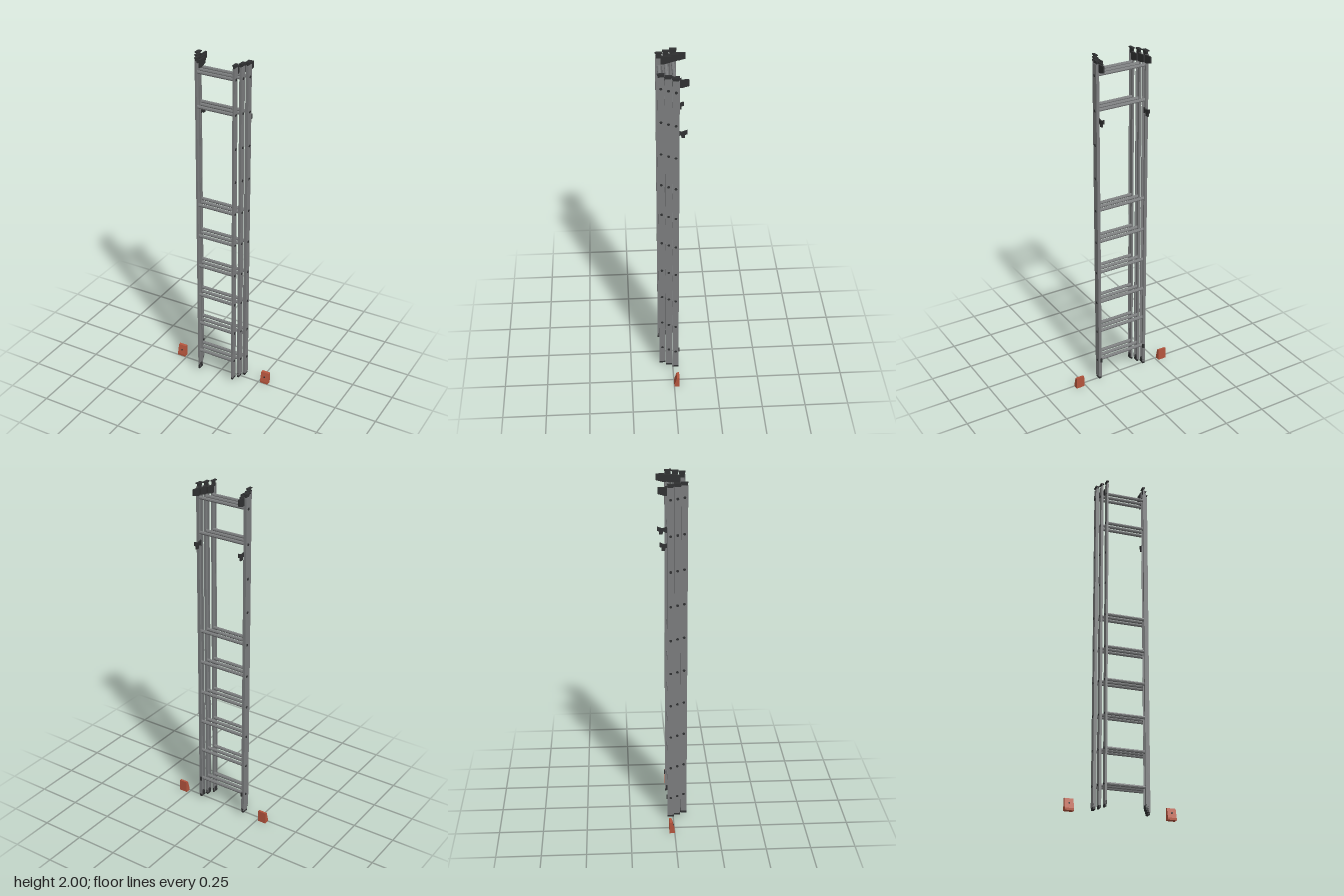
import * as THREE from 'three';

const metal = new THREE.MeshStandardMaterial({ color: 0x7b7d7e, flatShading: true, side: THREE.DoubleSide });
metal.name = 'aluminium';
const dark = new THREE.MeshStandardMaterial({ color: 0x303132, flatShading: true });
dark.name = 'dark plastic';
const red = new THREE.MeshStandardMaterial({ color: 0xb5553d, flatShading: true });
red.name = 'brick red';

function add(parent, name, geometry, material, x = 0, y = 0, z = 0) {
  const mesh = new THREE.Mesh(geometry, material);
  mesh.name = name;
  mesh.position.set(x, y, z);
  parent.add(mesh);
  return mesh;
}

function shapeOf(points) {
  return new THREE.Shape(points.map(([x, y]) => new THREE.Vector2(x, y)));
}

// Profile given as (z, y), extruded along x and centred on it
function sideExtrude(points, width) {
  const g = new THREE.ExtrudeGeometry(shapeOf(points.map(([z, y]) => [-z, y])), { depth: width, bevelEnabled: false });
  return g.translate(0, 0, -width / 2).rotateY(Math.PI / 2);
}

// C-channel rail, web on the outer side; s is the side (+1 or -1)
function railGeometry(s, w, d) {
  const t = 0.004, h = d / 2;
  const pts = [[0, -h], [0, h], [-w, h], [-w, h - t], [-t, h - t], [-t, -h + t], [-w, -h + t], [-w, -h]];
  const g = new THREE.ExtrudeGeometry(shapeOf(pts.map(([x, z]) => [x * s, z])), { depth: 1.95, bevelEnabled: false });
  return g.rotateX(-Math.PI / 2);
}

const pitch = 0.197;
const sections = [
  { name: 'baseSection', x: 0.16, w: 0.018, z: -0.015 },
  { name: 'middleSection', x: 0.14, w: 0.014, z: 0.023 },
  { name: 'frontSection', x: 0.118, w: 0.011, z: 0.061 },
];

function ladderSection({ name, x, w, z }) {
  const section = new THREE.Group();
  section.name = name;
  section.position.z = z;

  // Rungs, with a gap where two are left out
  for (let i = 0; i < 10; i++) {
    const y = 0.143 + i * pitch;
    if (i !== 6 && i !== 7) {
      const rung = new THREE.CylinderGeometry(0.0095, 0.0095, 2 * x - 0.006, 8).rotateZ(Math.PI / 2);
      add(section, 'rung', rung, metal, 0, y, 0);
    }
    for (const s of [-1, 1]) {
      const plug = new THREE.CylinderGeometry(0.008, 0.008, 0.004, 6).rotateZ(Math.PI / 2);
      add(section, 'rungPlug', plug, dark, s * x, y, 0);
    }
  }

  for (const s of [-1, 1]) {
    add(section, 'rail', railGeometry(s, w, 0.036), metal, s * x, 0.03, 0);
    // Top cap: narrow neck below a flat lid
    add(section, 'capNeck', new THREE.BoxGeometry(w * 0.5, 0.03, 0.032), dark, s * (x - w / 2), 1.98, 0);
    add(section, 'capLid', new THREE.BoxGeometry(w + 0.004, 0.006, 0.038), dark, s * (x - w / 2), 1.997, 0);
    // Foot
    add(section, 'foot', new THREE.BoxGeometry(w * 0.8, 0.03, 0.036), dark, s * (x - w / 2), 0.032, 0);
    // Top guide plate reaching back
    const guide = sideExtrude([[-0.01, 1.935], [-0.01, 1.98], [-0.066, 1.98], [-0.066, 1.945], [-0.03, 1.935]], 0.009);
    add(section, 'guidePlate', guide, dark, s * (x - w), 0, 0);
  }
  return section;
}

export function createModel() {
  const model = new THREE.Group();
  model.name = 'extensionLadder';
  sections.forEach((s) => model.add(ladderSection(s)));

  for (const s of [-1, 1]) {
    // Locking hook on the back
    const hook = sideExtrude([[-0.02, 1.645], [-0.02, 1.68], [-0.045, 1.672], [-0.074, 1.683],
      [-0.074, 1.66], [-0.062, 1.655], [-0.062, 1.638], [-0.045, 1.638], [-0.04, 1.655]], 0.009);
    add(model, 'lockHook', hook, dark, s * 0.142);
    add(model, 'lowerStop', new THREE.BoxGeometry(0.01, 0.025, 0.012), dark, s * 0.147, 0.145, -0.034);

    // Loose wedge foot standing beside the ladder
    const wedge = sideExtrude([[0, 0], [0, 0.012], [-0.015, 0.068], [-0.03, 0.07], [-0.03, 0]], 0.05);
    add(model, 'wedgeFoot', wedge, red, s * 0.285);
    const bolt = new THREE.CylinderGeometry(0.005, 0.005, 0.006, 8).rotateX(Math.PI / 2);
    add(model, 'wedgeBolt', bolt, dark, s * 0.285, 0.04, -0.008);
  }
  return model;
}
